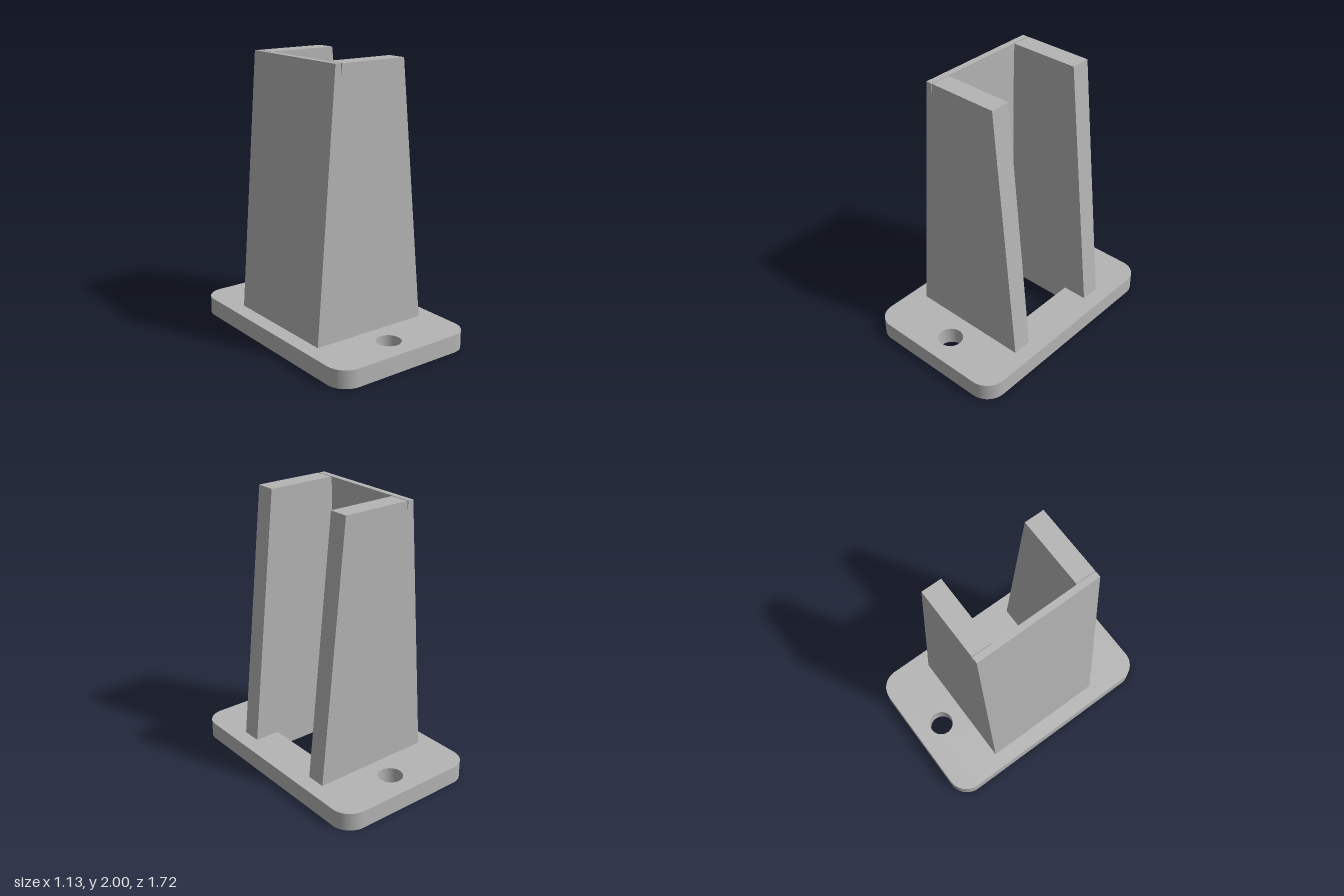
import * as THREE from 'three';
import { toCreasedNormals } from 'three/addons/utils/BufferGeometryUtils.js';

const BASE_H = 0.13, TOP = 2;
const OPEN_X = 0.264, OPEN_Z = 0.316, OUTER_Z = 0.461;

function polygon(points, Type = THREE.Shape) {
  return new Type(points.map(([x, y]) => new THREE.Vector2(x, y)));
}

function extrude(shape, depth) {
  return new THREE.ExtrudeGeometry(shape, { depth, bevelEnabled: false, curveSegments: 16 });
}

export function createModel() {
  const group = new THREE.Group();
  const gray = new THREE.MeshStandardMaterial({ color: 0xb4b4b4 });
  gray.name = 'gray';

  const add = (name, geometry) => {
    const mesh = new THREE.Mesh(geometry, gray);
    mesh.name = name;
    group.add(mesh);
    return mesh;
  };

  // Rounded base plate with a square opening and two screw holes
  const w = 0.564, d = 0.86, r = 0.148;
  const plate = new THREE.Shape();
  plate.absarc(w - r, d - r, r, 0, Math.PI / 2);
  plate.absarc(-w + r, d - r, r, Math.PI / 2, Math.PI);
  plate.absarc(-w + r, -d + r, r, Math.PI, Math.PI * 1.5);
  plate.absarc(w - r, -d + r, r, Math.PI * 1.5, Math.PI * 2);
  plate.closePath();
  plate.holes.push(polygon([
    [-OPEN_X, -OPEN_Z], [-OPEN_X, OPEN_Z], [OPEN_X, OPEN_Z], [OPEN_X, -OPEN_Z],
  ], THREE.Path));
  for (const side of [-1, 1]) {
    plate.holes.push(new THREE.Path().absarc(0, side * 0.654, 0.089, 0, Math.PI * 2, true));
  }
  const plateGeometry = extrude(plate, BASE_H).rotateX(-Math.PI / 2);
  add('basePlate', toCreasedNormals(plateGeometry, 0.6));

  // Full-width wall: sloped outside, upright inside
  const wall = polygon([
    [-0.452, BASE_H], [-OPEN_X, BASE_H], [-OPEN_X, TOP], [-0.308, TOP],
  ]);
  add('closedWall', extrude(wall, OUTER_Z * 2).translate(0, 0, -OUTER_Z));

  // Tapered side panels, with a thin notch against the wall at the top
  const panel = polygon([
    [-OPEN_X, BASE_H], [0.449, BASE_H], [0.256, TOP], [-0.256, TOP], [-OPEN_X, 1.91],
  ]);
  for (const [name, z] of [['frontPanel', OPEN_Z], ['backPanel', -OUTER_Z]]) {
    add(name, extrude(panel, OUTER_Z - OPEN_Z).translate(0, 0, z));
  }

  return group;
}
